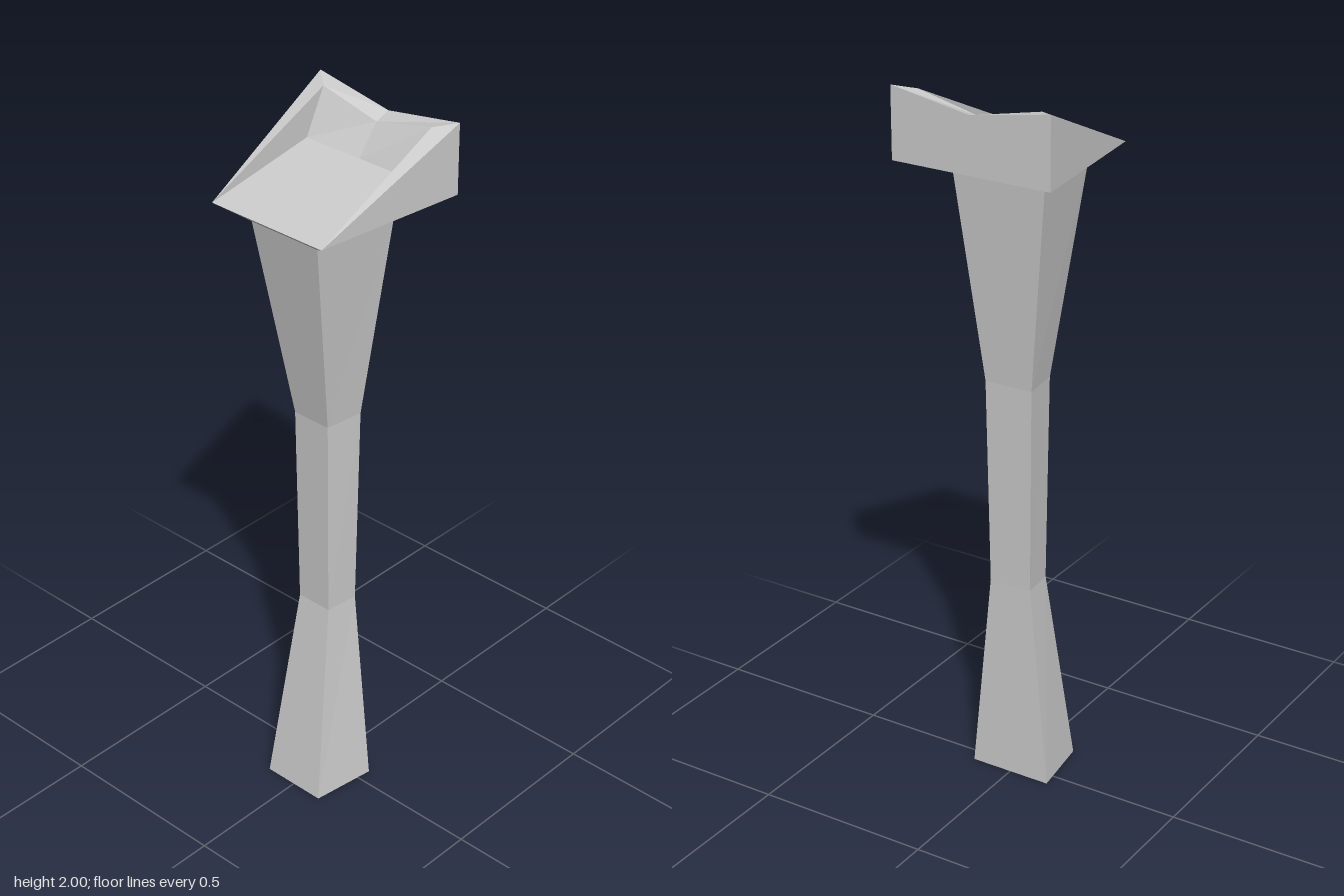
import * as THREE from 'three';

const material = new THREE.MeshStandardMaterial({ color: 0xcccccc, flatShading: true });

// Flat-faced mesh from convex polygons, each an anticlockwise list of points
function facetedMesh(name, polygons) {
  const positions = [];
  for (const p of polygons) {
    for (let i = 1; i < p.length - 1; i++) positions.push(...p[0], ...p[i], ...p[i + 1]);
  }
  const geometry = new THREE.BufferGeometry();
  geometry.setAttribute('position', new THREE.Float32BufferAttribute(positions, 3));
  geometry.computeVertexNormals();
  const mesh = new THREE.Mesh(geometry, material);
  mesh.name = name;
  return mesh;
}

// Trapezoid cross-section at height y
const ring = ([y, frontX, frontZ, backX, backZ]) => [
  [frontX, y, frontZ], [backX, y, backZ], [-backX, y, backZ], [-frontX, y, frontZ],
];

// Side walls joining successive trapezoids
function loft(sections) {
  const rings = sections.map(ring);
  const faces = [];
  for (let s = 0; s < rings.length - 1; s++) {
    for (let i = 0; i < 4; i++) {
      const j = (i + 1) % 4;
      faces.push([rings[s][i], rings[s][j], rings[s + 1][j], rings[s + 1][i]]);
    }
  }
  return faces;
}

// Right-hand copy of polygons drawn for x >= 0
const mirror = (faces) => faces.map((f) => f.map(([x, y, z]) => [-x, y, z]).reverse());

export function createModel() {
  const model = new THREE.Group();
  model.name = 'pedestal';

  // Section: height, front half-width, front z, back half-width, back z
  const foot = [0, 0.095, 0.143, 0.12, -0.042];
  const neck = [1.755, 0.111, 0.158, 0.136, -0.093];
  const headBase = [1.805, 0.184, 0.222, 0.232, -0.222];

  // Waisted column with a closed foot
  const column = loft([
    foot,
    [0.59, 0.053, 0.056, 0.063, -0.04],
    [1.18, 0.058, 0.064, 0.071, -0.048],
    neck,
  ]);
  column.push(ring(foot).reverse());
  model.add(facetedMesh('column', column));

  // Flared underside of the head
  model.add(facetedMesh('headUnderside', loft([neck, headBase])));

  // Wedge head: outer corners, then the recess
  const front = [0.184, 1.805, 0.222], frontMid = [0, 1.805, 0.222];
  const back = [0.232, 1.805, -0.222], backMid = [0, 1.805, -0.222];
  const peak = [0.232, 2, -0.222], notch = [0, 1.96, -0.222];
  const innerPeak = [0.18, 1.987, -0.177], innerNotch = [0, 1.945, -0.177];
  const floorBack = [0.18, 1.865, -0.115], floorMid = [0, 1.865, -0.115];

  const shell = [
    [front, back, peak], // side
    [back, backMid, notch, peak], // back
    [front, peak, innerPeak], // side rim
    [peak, notch, innerNotch, innerPeak], // back rim
  ];
  const recess = [
    [front, innerPeak, floorBack], // inner side
    [floorMid, floorBack, innerPeak, innerNotch], // inner back
    [frontMid, front, floorBack, floorMid], // sloping floor
  ];
  model.add(facetedMesh('headShell', [...shell, ...mirror(shell)]));
  model.add(facetedMesh('consoleRecess', [...recess, ...mirror(recess)]));

  return model;
}
